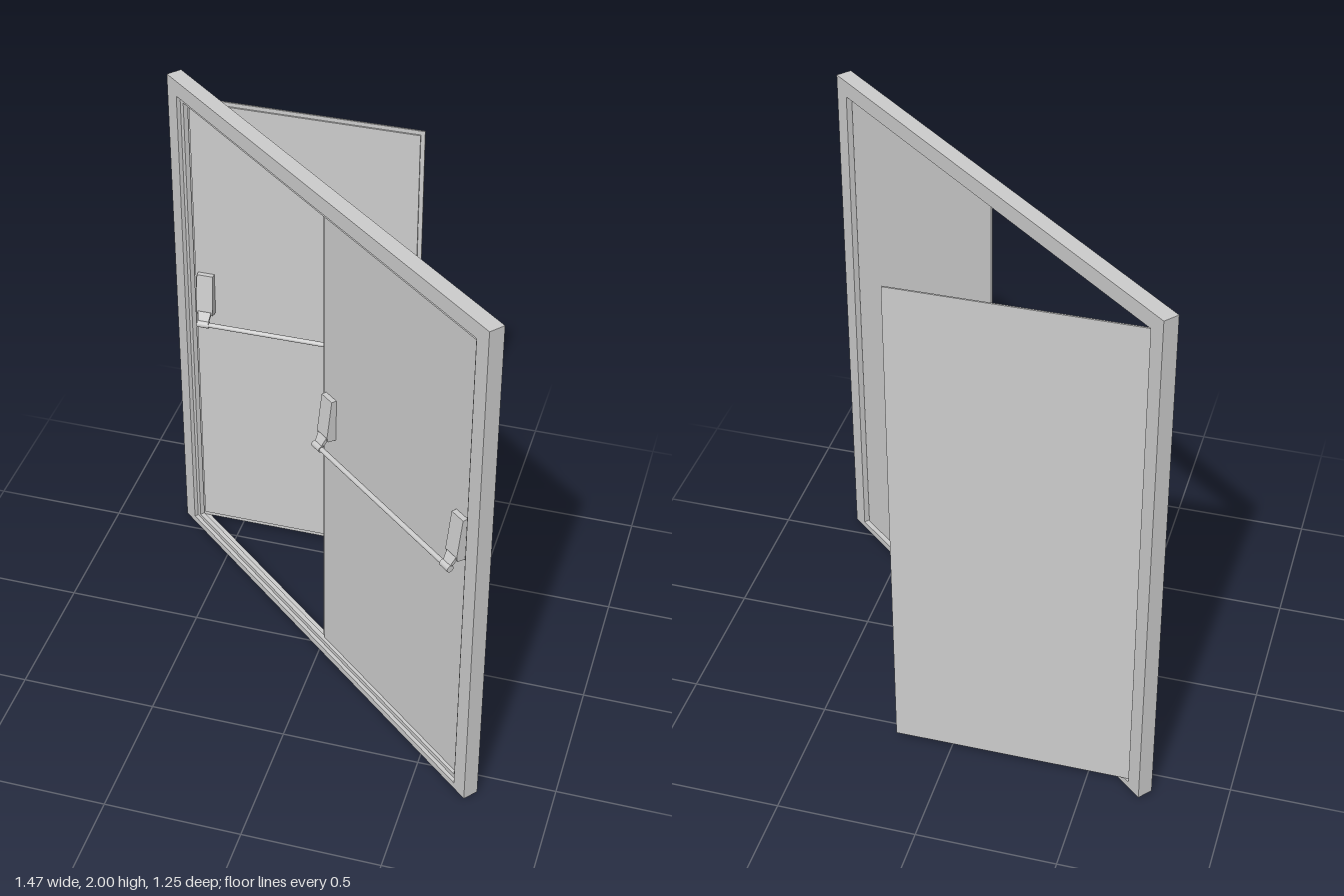
import * as THREE from 'three';

const material = new THREE.MeshStandardMaterial({ color: 0xcccccc });
const ANGLE = THREE.MathUtils.degToRad(40);
const LEAF_W = 0.868;

function add(parent, name, geometry, x = 0, y = 0, z = 0) {
  const mesh = new THREE.Mesh(geometry, material);
  mesh.name = name;
  mesh.position.set(x, y, z);
  parent.add(mesh);
  return mesh;
}

// box given by its limits on each axis
function slab(parent, name, x0, x1, y0, y1, z0, z1) {
  return add(parent, name, new THREE.BoxGeometry(x1 - x0, y1 - y0, z1 - z0),
    (x0 + x1) / 2, (y0 + y1) / 2, (z0 + z1) / 2);
}

// rectangular surround: full-height jambs, header and sill between them
function surround(parent, name, outer, inner, yBottom, sillTop, headBottom, yTop, z0, z1) {
  for (const s of [-1, 1]) {
    const a = s * outer, b = s * inner;
    slab(parent, name + 'Jamb', Math.min(a, b), Math.max(a, b), yBottom, yTop, z0, z1);
  }
  slab(parent, name + 'Header', -inner, inner, headBottom, yTop, z0, z1);
  slab(parent, name + 'Sill', -inner, inner, yBottom, sillTop, z0, z1);
}

// wedge-shaped housing with a tapered arm and a knuckle that holds the bar
function bracket(x) {
  const group = new THREE.Group();
  group.name = 'pushBarBracket';
  const width = 0.062;
  const profile = new THREE.Shape([
    [0, 1.03], [0, 1.2], [-0.019, 1.2], [-0.038, 1.055], [-0.034, 1.035],
  ].map(([px, py]) => new THREE.Vector2(px, py)));
  const housing = new THREE.ExtrudeGeometry(profile, { depth: width, bevelEnabled: false });
  housing.rotateY(Math.PI / 2).translate(-width / 2, 0, 0);
  add(group, 'bracketHousing', housing);

  const from = new THREE.Vector3(0, 1.055, 0.026), to = new THREE.Vector3(0, 1.007, 0.055);
  const dir = from.clone().sub(to);
  const arm = new THREE.CylinderGeometry(0.038, 0.025, dir.length(), 4, 1).toNonIndexed();
  arm.rotateY(Math.PI / 4).scale(1, 1, 0.28);
  arm.computeVertexNormals();
  const mid = from.clone().add(to).multiplyScalar(0.5);
  add(group, 'bracketArm', arm, 0, mid.y, mid.z)
    .quaternion.setFromUnitVectors(new THREE.Vector3(0, 1, 0), dir.normalize());

  add(group, 'barKnuckle', new THREE.CylinderGeometry(0.013, 0.013, 0.044, 20).rotateZ(Math.PI / 2),
    0, 1.007, 0.055);
  group.position.set(x, 0, 0.012);
  return group;
}

// door leaf from x = 0 to LEAF_W, outer face at z = 0, push bar on +z
function leaf(name) {
  const group = new THREE.Group();
  group.name = name;
  slab(group, 'leafSkin', 0, LEAF_W, 0.027, 1.93, 0, 0.006);
  slab(group, 'leafInnerPanel', 0.015, LEAF_W - 0.015, 0.044, 1.915, 0.006, 0.012);
  const inset = 0.057;
  for (const x of [inset, LEAF_W - inset]) group.add(bracket(x));
  add(group, 'pushBar',
    new THREE.CylinderGeometry(0.009, 0.009, LEAF_W - 2 * inset, 20).rotateZ(Math.PI / 2),
    LEAF_W / 2, 1.007, 0.067);
  return group;
}

export function createModel() {
  const model = new THREE.Group();
  model.name = 'doubleDoor';

  // the whole doorway stands at an angle
  const doorway = new THREE.Group();
  doorway.name = 'doorway';
  doorway.rotation.y = -ANGLE;
  model.add(doorway);

  surround(doorway, 'frame', 0.935, 0.875, 0, 0.026, 1.94, 2, -0.029, 0.029);
  surround(doorway, 'doorStop', 0.875, 0.855, 0.026, 0.042, 1.917, 1.94, -0.004, 0.014);

  const closed = leaf('closedLeaf');
  closed.position.set(0.002, 0, -0.01);
  doorway.add(closed);

  // swung outward about its outer edge
  const open = leaf('openLeaf');
  open.position.set(-0.876, 0, -0.009);
  open.rotation.y = ANGLE;
  doorway.add(open);

  return model;
}
